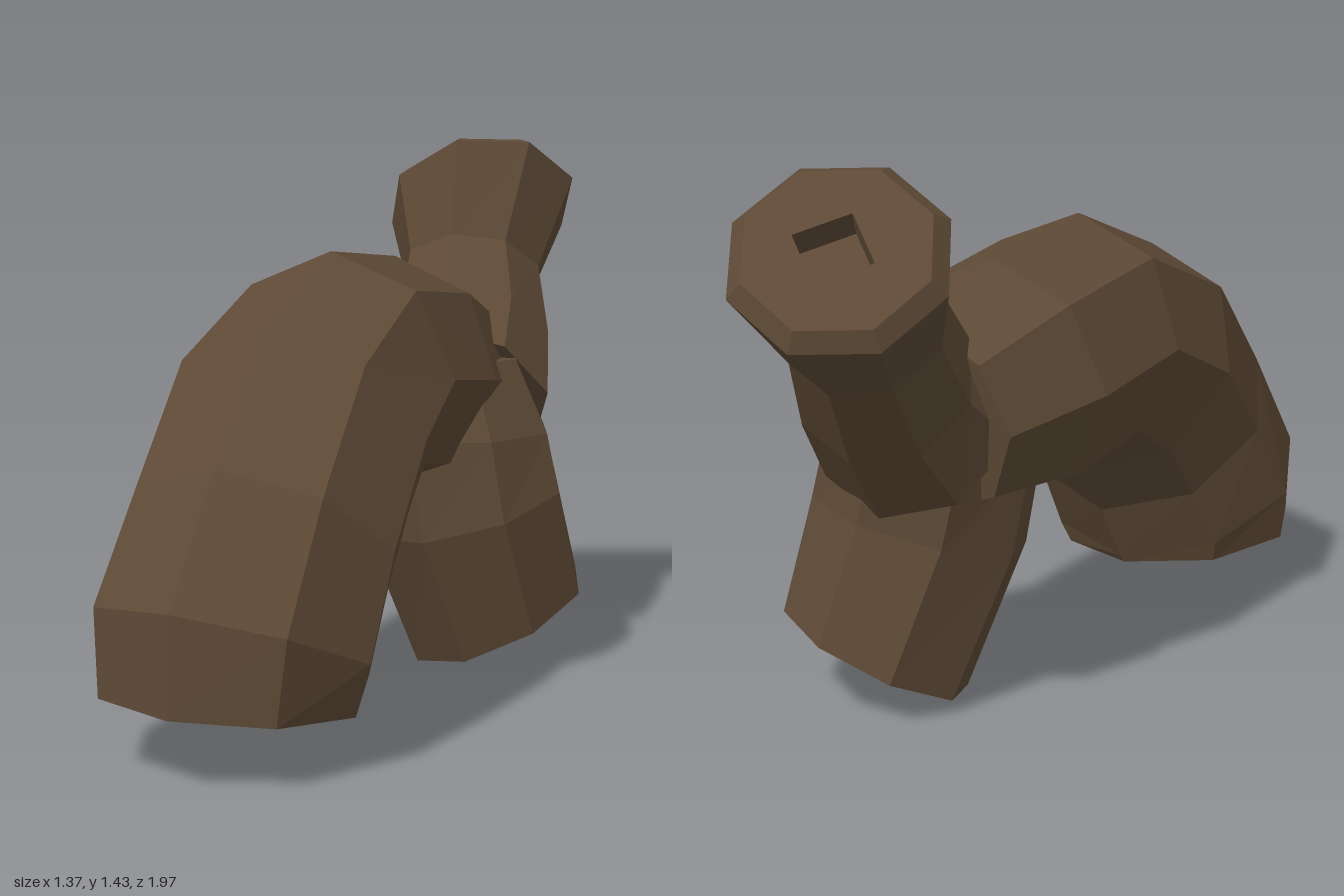
import * as THREE from 'three';

const SIDES = 8;
const V = (a) => new THREE.Vector3(...a);
const ACROSS = V([0.88, 0, 0.47]).normalize(); // horizontal, square to the arch

// Faceted tube through rings { c: centre, r: radius, t: optional axis, square: optional }
function loft(rings) {
  const pos = [];
  const centres = rings.map((g) => V(g.c));
  const loops = rings.map((g, i) => {
    const t = (g.t ? V(g.t) : centres[Math.min(i + 1, rings.length - 1)].clone()
      .sub(centres[Math.max(i - 1, 0)])).normalize();
    const side = ACROSS.clone().addScaledVector(t, -ACROSS.dot(t)).normalize();
    const up = side.clone().cross(t);
    return Array.from({ length: SIDES }, (_, k) => {
      const a = (k / SIDES) * Math.PI * 2;
      const r = g.square && k % 2 ? g.r * Math.SQRT1_2 : g.r;
      return centres[i].clone().addScaledVector(up, Math.cos(a) * r)
        .addScaledVector(side, Math.sin(a) * r);
    });
  });
  const tri = (...pts) => pts.forEach((p) => pos.push(p.x, p.y, p.z));
  const last = rings.length - 1;
  for (let k = 0; k < SIDES; k++) {
    const n = (k + 1) % SIDES;
    for (let i = 0; i < last; i++) {
      const a = loops[i], b = loops[i + 1];
      tri(a[k], a[n], b[n]);
      tri(a[k], b[n], b[k]);
    }
    tri(centres[0], loops[0][n], loops[0][k]);
    tri(centres[last], loops[last][k], loops[last][n]);
  }
  const geo = new THREE.BufferGeometry();
  geo.setAttribute('position', new THREE.Float32BufferAttribute(pos, 3));
  geo.computeVertexNormals(); // unshared corners give flat facets
  return geo;
}

export function createModel() {
  const bark = new THREE.MeshStandardMaterial({ color: 0x5e4a36 });
  bark.name = 'brown bark';
  const group = new THREE.Group();
  group.name = 'archedLog';
  const add = (name, rings) => {
    const mesh = new THREE.Mesh(loft(rings), bark);
    mesh.name = name;
    group.add(mesh);
  };

  // Thick trunk arching from the front end to the fork
  add('trunk', [
    { c: [-0.36, 0.155, 0.68], r: 0.33 },
    { c: [-0.35, 0.29, 0.675], r: 0.36 },
    { c: [-0.27, 0.52, 0.56], r: 0.345 },
    { c: [-0.18, 0.74, 0.37], r: 0.345 },
    { c: [-0.06, 0.86, 0.12], r: 0.325 },
    { c: [0.1, 0.82, -0.18], r: 0.32 },
    { c: [0.26, 0.77, -0.41], r: 0.25 },
  ]);

  // Short leg with a slanted cut end
  add('leg', [
    { c: [0.42, 0.12, -0.3], r: 0.265, t: [-0.42, 0.87, 0.1] },
    { c: [0.31, 0.45, -0.23], r: 0.29, t: [-0.25, 0.95, 0.1] },
    { c: [0.27, 0.66, -0.24], r: 0.29, t: [0, 1, 0] },
    { c: [0.25, 0.86, -0.25], r: 0.22, t: [0, 1, 0] },
  ]);

  // Flared branch with a bevelled rim and a small square hollow
  const axis = [0, 0.7, -0.7];
  add('branch', [
    { c: [0.3, 0.74, -0.34], r: 0.27 },
    { c: [0.36, 0.88, -0.49], r: 0.23 },
    { c: [0.385, 1.05, -0.65], r: 0.2 },
    { c: [0.43, 1.25, -0.78], r: 0.275, t: axis },
    { c: [0.43, 1.28, -0.81], r: 0.235, t: axis },
    { c: [0.44, 1.28, -0.81], r: 0.105, t: axis, square: true },
    { c: [0.44, 1.22, -0.75], r: 0.105, t: axis, square: true },
  ]);

  return group;
}
